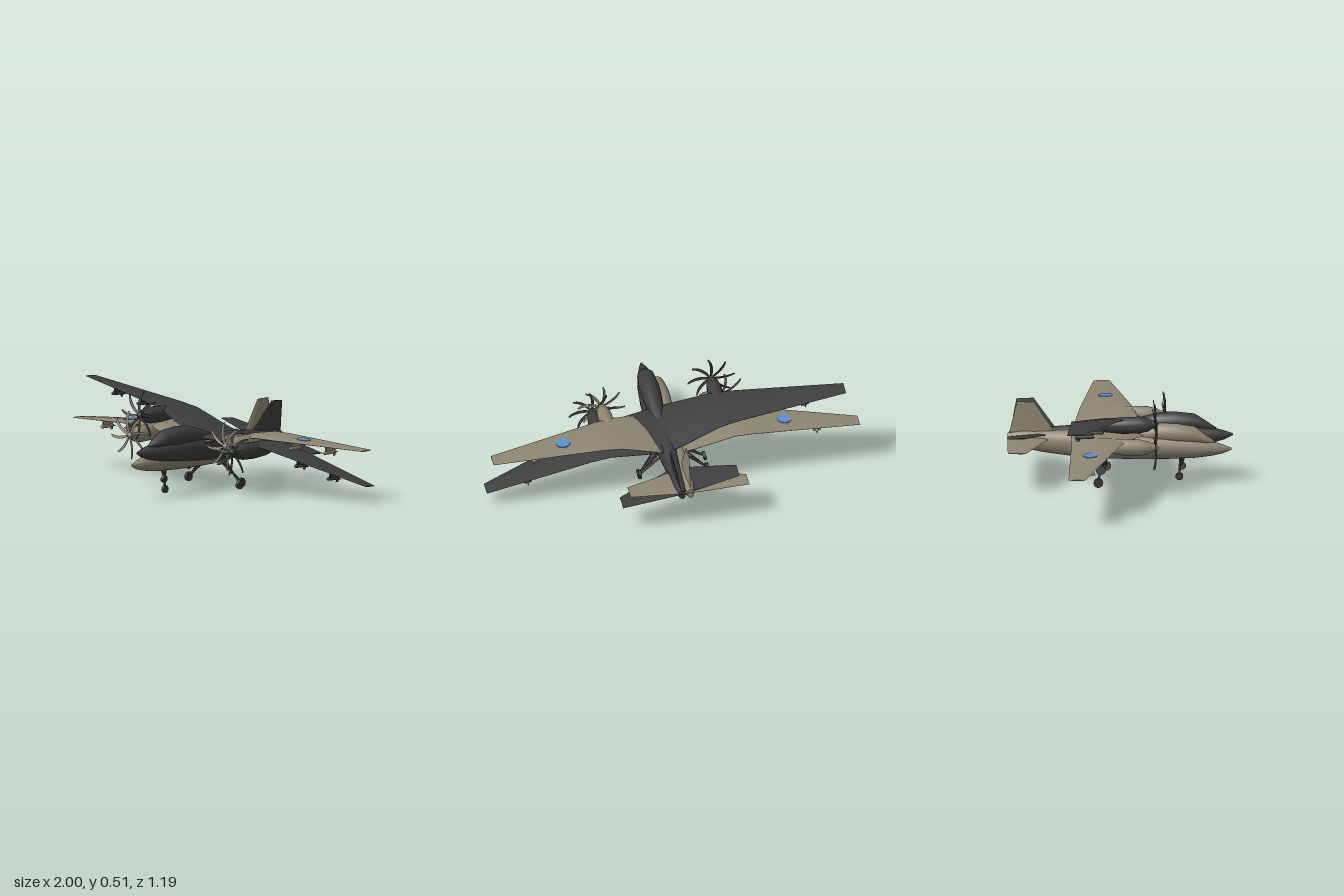
import * as THREE from 'three';
import { toCreasedNormals } from 'three/addons/utils/BufferGeometryUtils.js';

const mat = (name, color) => new THREE.MeshStandardMaterial({ name, color });

// Closed skin through rings of equal point count, capped at both ends
function loft(rings) {
  const n = rings[0].length, pos = [], idx = [];
  rings.forEach(r => r.forEach(p => pos.push(...p)));
  for (let i = 0; i < rings.length - 1; i++)
    for (let j = 0; j < n; j++) {
      const a = i * n + j, b = i * n + (j + 1) % n;
      idx.push(a, b, a + n, b, b + n, a + n);
    }
  const last = (rings.length - 1) * n;
  for (let j = 1; j < n - 1; j++) idx.push(0, j + 1, j, last, last + j, last + j + 1);
  // turn the faces outward if the signed volume is negative
  let volume = 0;
  const v = k => new THREE.Vector3().fromArray(pos, idx[k] * 3);
  for (let k = 0; k < idx.length; k += 3) volume += v(k).dot(v(k + 1).cross(v(k + 2)));
  if (volume < 0) idx.reverse();
  const geo = new THREE.BufferGeometry();
  geo.setAttribute('position', new THREE.Float32BufferAttribute(pos, 3));
  geo.setIndex(idx);
  return toCreasedNormals(geo, 0.7);
}

// Oval body along z: sections of [z, half width, bottom, top]
function body(sections, sides = 24) {
  return loft(sections.map(([z, w, lo, hi]) => Array.from({ length: sides }, (_, i) => {
    const a = i / sides * Math.PI * 2;
    return [w * Math.cos(a), (lo + hi) / 2 + (hi - lo) / 2 * Math.sin(a), z];
  })));
}

// Aerofoil outline: [fraction of chord, fraction of half thickness]
const FOIL = [[0, 0], [0.06, 0.55], [0.2, 0.92], [0.4, 1], [0.7, 0.6], [1, 0.06],
  [1, -0.06], [0.7, -0.5], [0.4, -0.8], [0.2, -0.75], [0.06, -0.45]];

// Flying surface: sections of [span, height, leading z, trailing z, thickness]
function surface(sections, side, upright = false) {
  return loft(sections.map(([s, h, le, te, t]) => FOIL.map(([c, f]) => {
    const z = le + (te - le) * c, off = f * t / 2;
    return upright ? [off, s, z] : [side * s, h + off, z];
  })));
}

const FUSELAGE = [[0.595, 0.004, 0.17, 0.18], [0.55, 0.022, 0.15, 0.197], [0.5, 0.036, 0.138, 0.212],
  [0.4, 0.058, 0.124, 0.232], [0.25, 0.07, 0.116, 0.25], [0.1, 0.072, 0.112, 0.26],
  [-0.1, 0.066, 0.112, 0.262], [-0.25, 0.052, 0.122, 0.26], [-0.4, 0.04, 0.14, 0.256],
  [-0.52, 0.032, 0.162, 0.252], [-0.585, 0.018, 0.185, 0.24]];
const CANOPY = [[0.51, 0.006, 0.2, 0.213], [0.46, 0.03, 0.2, 0.25], [0.4, 0.045, 0.2, 0.292],
  [0.3, 0.053, 0.2, 0.307], [0.22, 0.051, 0.2, 0.308], [0.12, 0.042, 0.2, 0.288], [0, 0.03, 0.2, 0.26]];
const NACELLE = [[0.2, 0.022, -0.022, 0.022], [0.18, 0.032, -0.036, 0.032], [0.13, 0.04, -0.046, 0.043],
  [0.04, 0.04, -0.044, 0.044], [-0.06, 0.03, -0.03, 0.036], [-0.16, 0.008, 0.005, 0.025]];

function bladeGeometry() {
  const s = new THREE.Shape();
  s.moveTo(-0.005, 0.01);
  s.bezierCurveTo(-0.018, 0.05, -0.012, 0.1, 0.016, 0.128);
  s.lineTo(0.022, 0.124);
  s.bezierCurveTo(0.004, 0.095, 0, 0.05, 0.005, 0.01);
  const g = new THREE.ExtrudeGeometry(s, { depth: 0.003, bevelEnabled: false, curveSegments: 6 });
  return g.translate(0, 0, -0.0015).rotateY(0.3);
}

function buildAircraft(name, paint, rubber, marking) {
  const craft = new THREE.Group();
  craft.name = name;
  const add = (part, geo, material = paint, parent = craft) => {
    const m = new THREE.Mesh(geo, material);
    m.name = part;
    parent.add(m);
    return m;
  };
  const rod = (part, a, b, r, material) => {
    const p = new THREE.Vector3(...a), d = new THREE.Vector3(...b).sub(p);
    const m = add(part, new THREE.CylinderGeometry(r, r, d.length(), 8), material);
    m.position.copy(p).addScaledVector(d, 0.5);
    m.quaternion.setFromUnitVectors(new THREE.Vector3(0, 1, 0), d.normalize());
  };
  const wheel = (part, x, y, z, r, w) =>
    add(part, new THREE.CylinderGeometry(r, r, w, 16).rotateZ(Math.PI / 2), rubber).position.set(x, y, z);

  add('fuselage', body(FUSELAGE));
  add('canopy', body(CANOPY));
  add('fin', surface([[0.23, 0, -0.325, -0.58, 0.022], [0.412, 0, -0.447, -0.537, 0.009]], 1, true));

  const blade = bladeGeometry();
  for (const s of [-1, 1]) {
    const side = s > 0 ? 'left' : 'right';
    // Gull wing and tailplane
    add(side + 'Wing', surface([[0, 0.245, 0.142, -0.252, 0.034], [0.08, 0.253, 0.122, -0.247, 0.032],
      [0.3, 0.293, 0.065, -0.228, 0.024], [0.4, 0.293, 0.04, -0.222, 0.022],
      [0.982, 0.26, -0.113, -0.198, 0.006]], s));
    add(side + 'Tailplane', surface([[0, 0.217, -0.355, -0.588, 0.016], [0.318, 0.215, -0.468, -0.563, 0.006]], s));

    // Engine with eight curved blades
    const engine = new THREE.Group();
    engine.name = side + 'Engine';
    engine.position.set(s * 0.325, 0.264, 0);
    craft.add(engine);
    add('nacelle', body(NACELLE, 16), paint, engine);
    const spinner = [[0.022, 0], [0.021, 0.014], [0.013, 0.03], [0, 0.038]].map(p => new THREE.Vector2(...p));
    add('spinner', new THREE.LatheGeometry(spinner, 14).rotateX(Math.PI / 2), paint, engine).position.z = 0.195;
    for (let i = 0; i < 8; i++) {
      const b = add('propellerBlade', blade, paint, engine);
      b.position.z = 0.217;
      b.rotation.z = i * Math.PI / 4 + 0.2;
    }

    // Pylons with finned stores
    for (const [x, y, z] of [[0.555, 0.25, -0.09], [0.757, 0.241, -0.125]]) {
      add('pylon', new THREE.BoxGeometry(0.007, 0.036, 0.075)).position.set(s * x, y + 0.013, z);
      const store = add('store', new THREE.CapsuleGeometry(0.009, 0.085, 4, 10).rotateX(Math.PI / 2));
      store.position.set(s * x, y - 0.006, z);
      for (const turn of [0, Math.PI / 2]) {
        const f = add('storeFin', new THREE.BoxGeometry(0.042, 0.003, 0.018));
        f.position.set(s * x, y - 0.006, z - 0.035);
        f.rotation.z = turn;
      }
    }

    // Main landing gear
    rod('mainStrut', [s * 0.045, 0.13, -0.08], [s * 0.172, 0.035, -0.095], 0.0065, rubber);
    rod('mainBrace', [s * 0.05, 0.15, -0.065], [s * 0.15, 0.055, -0.09], 0.004, rubber);
    wheel('mainWheel', s * 0.18, 0.025, -0.095, 0.025, 0.016);

    // Wing marking
    if (marking) {
      const disc = add('wingRoundel', new THREE.CylinderGeometry(0.038, 0.038, 0.008, 28), marking);
      disc.position.set(s * 0.593, 0.2885, -0.11);
      disc.rotation.z = -s * 0.06;
    }
  }

  // Nose landing gear
  rod('noseStrut', [0, 0.13, 0.325], [0, 0.022, 0.32], 0.006, rubber);
  rod('noseBrace', [0, 0.13, 0.35], [0, 0.065, 0.322], 0.004, rubber);
  wheel('noseWheel', 0, 0.02, 0.32, 0.02, 0.016);
  return craft;
}

export function createModel() {
  const tan = mat('tan paint', 0x8f8672);
  const grey = mat('dark grey paint', 0x3d3d3f);
  const rubber = mat('gear grey', 0x38383a);
  const blue = mat('marking blue', 0x5c90d2);

  const model = new THREE.Group();
  model.name = 'aircraftPair';

  // Level aircraft standing on its wheels
  const level = buildAircraft('tanAircraft', tan, rubber, blue);
  level.position.x = -0.018;
  model.add(level);

  // Second aircraft overlapping it, banked and slightly nose-up
  const banked = buildAircraft('greyAircraft', grey, rubber, null);
  banked.position.y = -0.26;
  const pose = new THREE.Group();
  pose.name = 'bankedPose';
  pose.position.set(0.0375, 0.29, 0);
  pose.rotation.set(-0.063, 0, -0.21);
  pose.add(banked);
  model.add(pose);
  return model;
}
